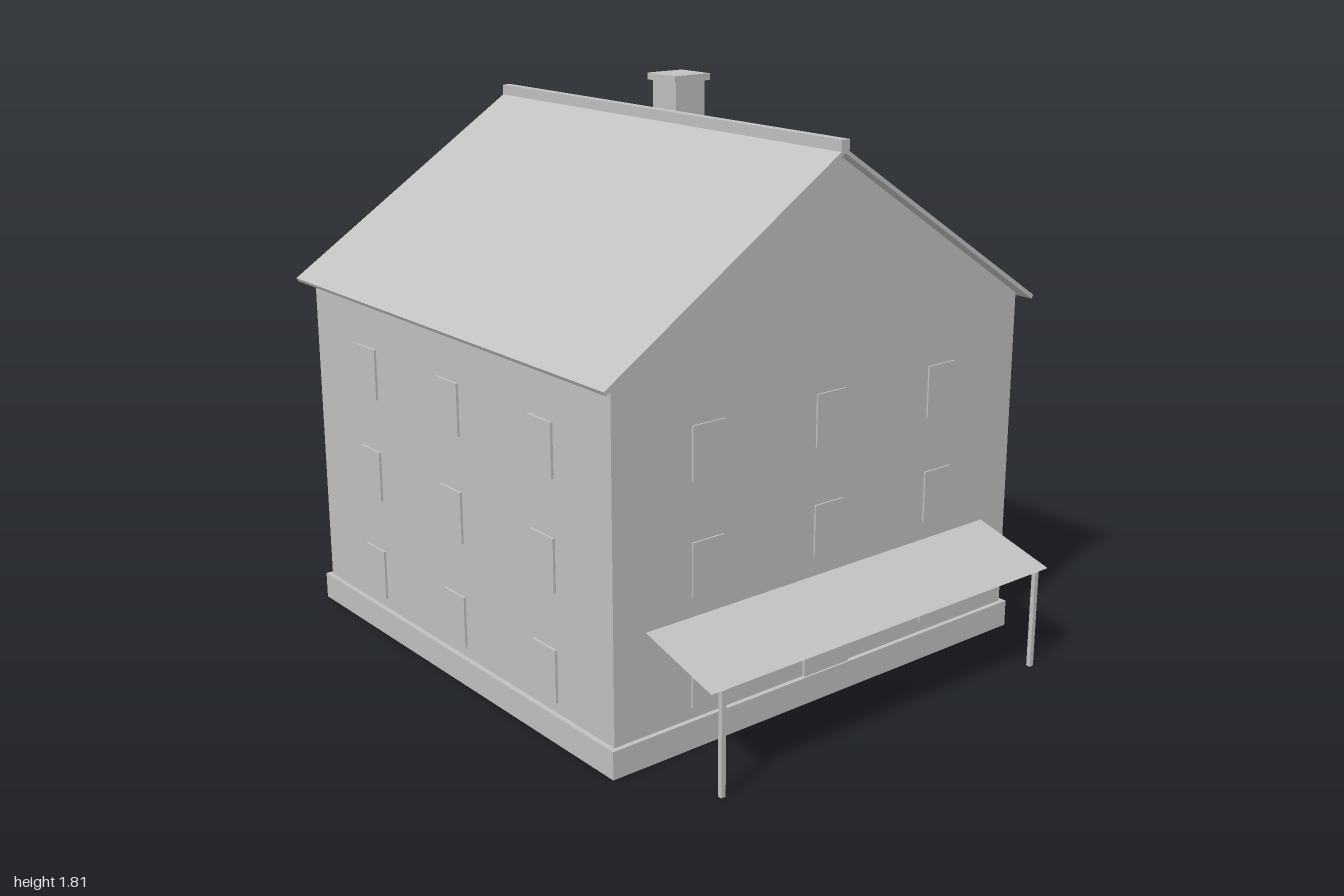
import * as THREE from 'three';

export function createModel() {
  const house = new THREE.Group();
  house.name = 'house';
  const grey = new THREE.MeshStandardMaterial({ color: 0xc0c0c0, side: THREE.DoubleSide });
  grey.name = 'plain grey';

  const add = (name, geometry) => {
    const mesh = new THREE.Mesh(geometry, grey);
    mesh.name = name;
    house.add(mesh);
    return mesh;
  };
  // Box given by its limits on each axis
  const box = (name, x0, x1, y0, y1, z0, z1) =>
    add(name, new THREE.BoxGeometry(x1 - x0, y1 - y0, z1 - z0))
      .position.set((x0 + x1) / 2, (y0 + y1) / 2, (z0 + z1) / 2);
  // Profile in x and y, extruded from z0 to z1
  const prism = (name, points, z0, z1) => {
    const shape = new THREE.Shape(points.map(([x, y]) => new THREE.Vector2(x, y)));
    add(name, new THREE.ExtrudeGeometry(shape, { depth: z1 - z0, bevelEnabled: false }))
      .position.z = z0;
  };

  const W = 0.828, FRONT = 0.71, BACK = -0.955, MID = (FRONT + BACK) / 2;

  // Plinth and gabled walls
  box('plinth', -0.845, 0.845, 0, 0.09, BACK - 0.016, FRONT + 0.016);
  prism('walls', [[-W, 0.09], [W, 0.09], [W, 1.178], [0, 1.716], [-W, 1.178]], BACK, FRONT);

  // Thin roof slopes and ridge cap
  for (const s of [-1, 1]) {
    prism(s > 0 ? 'leftRoof' : 'rightRoof',
      [[0, 1.72], [s * 0.869, 1.157], [s * 0.876, 1.169], [0, 1.735]], -1, 0.745);
  }
  box('ridgeCap', -0.016, 0.016, 1.725, 1.76, -1, 0.745);

  // Chimney
  box('chimney', 0.363, 0.495, 1.428, 1.786, -0.606, -0.476);
  box('chimneyCap', 0.349, 0.508, 1.786, 1.81, -0.62, -0.463);

  // Three rows of windows on every wall, with a door in the middle of front and back
  const half = 0.059;
  [0.125, 0.477, 0.83].forEach((y, row) => {
    for (const col of [-1, 0, 1]) {
      const z = MID + col * 0.498, x = col * 0.483;
      box('leftWindow', W, W + 0.008, y, y + 0.17, z - half, z + half);
      box('rightWindow', -W - 0.008, -W, y, y + 0.17, z - half, z + half);
      if (row === 0 && col === 0) continue;
      box('frontWindow', x - half, x + half, y, y + 0.17, FRONT, FRONT + 0.006);
      box('backWindow', x - half, x + half, y, y + 0.17, BACK - 0.006, BACK);
    }
  });
  box('frontDoor', -0.095, 0.095, 0.08, 0.28, FRONT, FRONT + 0.009);
  box('backDoor', -0.095, 0.095, 0.08, 0.28, BACK - 0.009, BACK);

  // Sloping awning sheet on two posts
  const z0 = FRONT, z1 = 1, y0 = 0.415, y1 = 0.333;
  const awning = add('awning', new THREE.PlaneGeometry(1.424, Math.hypot(z1 - z0, y0 - y1)));
  awning.rotation.x = -Math.atan2(z1 - z0, y0 - y1);
  awning.position.set(0, (y0 + y1) / 2, (z0 + z1) / 2);
  for (const x of [-0.663, 0.663]) {
    box('awningPost', x - 0.008, x + 0.008, 0, 0.33, 0.982, 0.997);
  }
  return house;
}
